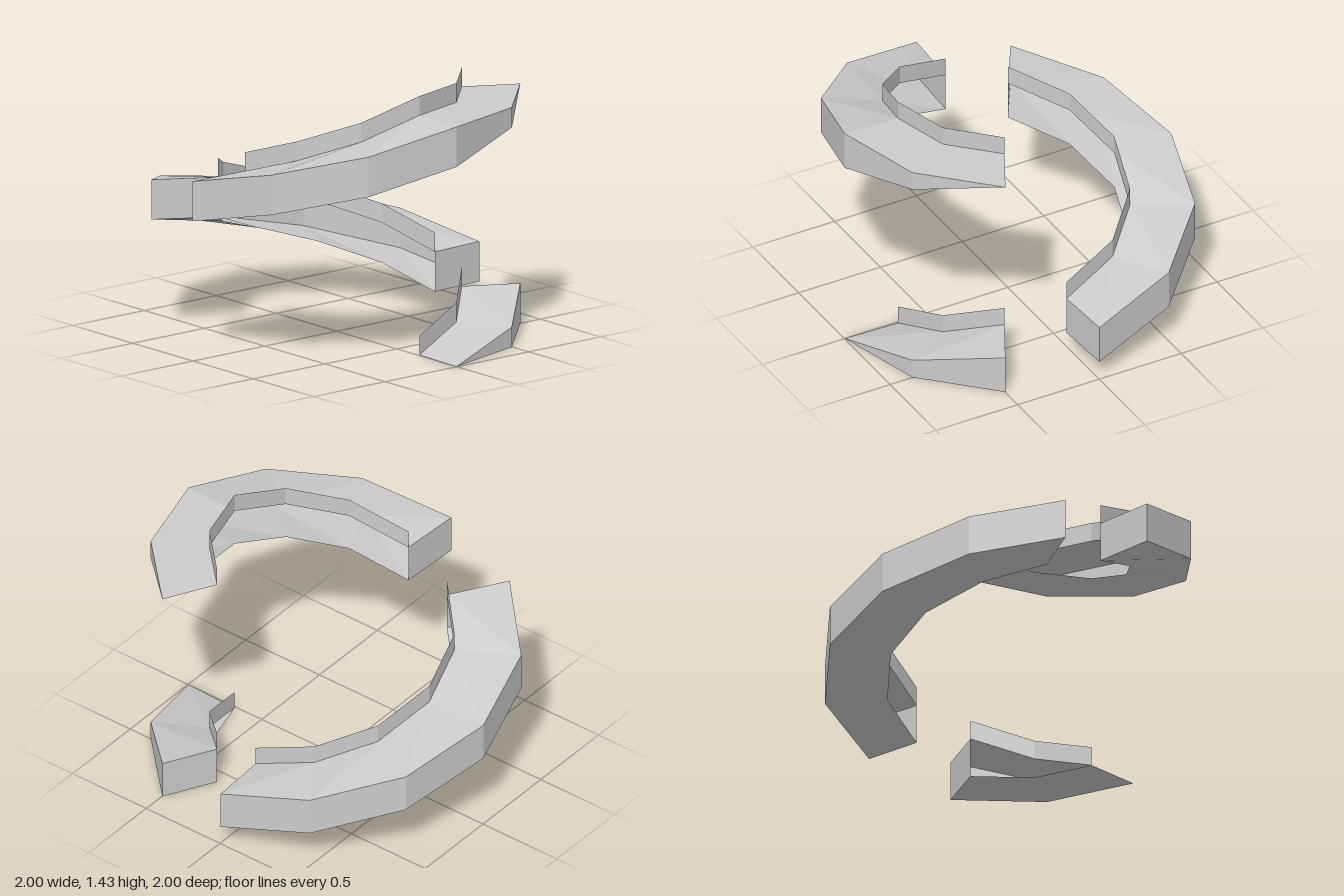
import * as THREE from 'three';

const STEP = 0.11;             // rise per 30 degree step
const BASE = 0.005;
const DEPTH = 2;               // thickness of the ramp, in steps
const LAST = 12;               // step at which the deck levels off
const CURB = 0.106;

const material = new THREE.MeshStandardMaterial({
  color: 0xcccccc, flatShading: true, side: THREE.DoubleSide,
});

const level = (k) => BASE + STEP * k;
const deckY = (k) => level(Math.min(k, LAST));
const floorY = (k) => level(Math.max(k - DEPTH, 0));

// points on the outer and inner edges at step k
function outer(k, y) {
  const a = k * Math.PI / 6;
  return [Math.sin(a) * 0.999 - 0.002, y, Math.cos(a) * 0.999 - 0.002];
}
function inner(k, y) {
  const a = k * Math.PI / 6;
  return [Math.sin(a) * 0.661 + 0.01, y, Math.cos(a) * 0.661 + 0.016];
}

// mesh from quads whose corners run anticlockwise
function quadMesh(name, quads) {
  const pos = [];
  for (const [a, b, c, d] of quads) pos.push(...a, ...b, ...c, ...a, ...c, ...d);
  const geo = new THREE.BufferGeometry();
  geo.setAttribute('position', new THREE.Float32BufferAttribute(pos, 3));
  geo.computeVertexNormals();
  const mesh = new THREE.Mesh(geo, material);
  mesh.name = name;
  return mesh;
}

// one ramp piece from step k0 to step k1, open on its inner side
function rampSection(name, k0, k1) {
  const deck = [], underside = [], side = [], curb = [], caps = [];
  for (let k = k0; k < k1; k++) {
    const n = k + 1;
    deck.push([outer(k, deckY(k)), outer(n, deckY(n)), inner(n, deckY(n)), inner(k, deckY(k))]);
    underside.push([inner(k, floorY(k)), inner(n, floorY(n)), outer(n, floorY(n)), outer(k, floorY(k))]);
    side.push([outer(k, floorY(k)), outer(n, floorY(n)), outer(n, deckY(n)), outer(k, deckY(k))]);
    curb.push([inner(k, deckY(k)), inner(n, deckY(n)), inner(n, deckY(n) + CURB), inner(k, deckY(k) + CURB)]);
  }
  // end faces, skipped where the ramp tapers to an edge
  for (const [k, start] of [[k0, true], [k1, false]]) {
    if (deckY(k) - floorY(k) < 0.001) continue;
    const q = [inner(k, floorY(k)), outer(k, floorY(k)), outer(k, deckY(k)), inner(k, deckY(k))];
    caps.push(start ? q : q.reverse());
  }
  const group = new THREE.Group();
  group.name = name;
  group.add(
    quadMesh('deck', deck),
    quadMesh('underside', underside),
    quadMesh('outerSide', side),
    quadMesh('innerCurb', curb),
    quadMesh('endFaces', caps),
  );
  return group;
}

export function createModel() {
  const model = new THREE.Group();
  model.name = 'spiralRamp';
  model.add(
    rampSection('lowerRamp', 0, 2),
    rampSection('middleRamp', 3, 8),
    rampSection('upperRamp', 9, 14),
  );
  return model;
}
